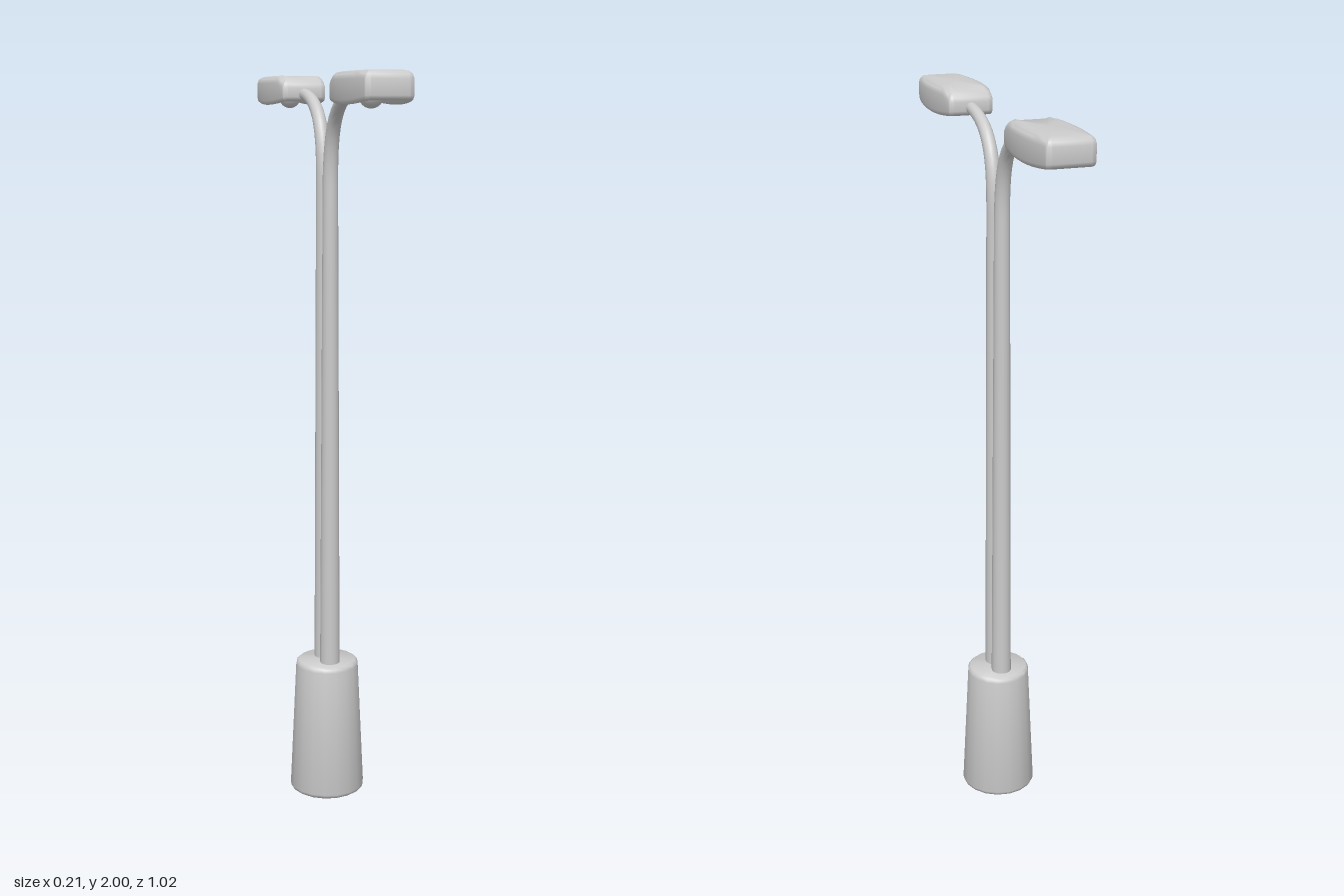
import * as THREE from 'three';
import { toCreasedNormals } from 'three/addons/utils/BufferGeometryUtils.js';

const material = new THREE.MeshStandardMaterial({ color: 0xcccccc });
const HALF_W = 0.072, HALF_L = 0.148, HEAD_Z = 0.362;

function part(name, geometry, parent) {
  const mesh = new THREE.Mesh(geometry, material);
  mesh.name = name;
  parent.add(mesh);
  return mesh;
}

// Plan of the lamp head: a long six-sided shape with rounded corners
function headOutline() {
  const s = new THREE.Shape();
  const e = 0.061, r = 0.014;
  s.moveTo(e + 0.001, -HALF_L + r);
  s.quadraticCurveTo(2 * HALF_W - e, 0, e + 0.001, HALF_L - r);
  s.quadraticCurveTo(e, HALF_L, e - r, HALF_L);
  s.lineTo(-e + r, HALF_L);
  s.quadraticCurveTo(-e, HALF_L, -e - 0.001, HALF_L - r);
  s.quadraticCurveTo(-2 * HALF_W + e, 0, -e - 0.001, -HALF_L + r);
  s.quadraticCurveTo(-e, -HALF_L, -e + r, -HALF_L);
  s.lineTo(e - r, -HALF_L);
  s.quadraticCurveTo(e, -HALF_L, e + 0.001, -HALF_L + r);
  return s.getPoints(8);
}

// Shell lofted over the top, down the sides, round the rim and up into the recess
function headGeometry() {
  const outline = headOutline(), n = outline.length;
  // [inset, height]
  const rings = [
    [HALF_W, 2.0], [0.022, 2.0], [0.01, 1.997], [0.003, 1.99], [0, 1.98],
    [0, 1.932], [0.002, 1.924], [0.006, 1.921], [0.011, 1.923],
    [0.015, 1.93], [0.028, 1.965], [HALF_W, 1.967],
  ];
  const pos = [], index = [];
  rings.forEach(([inset, h], i) => {
    const sx = 1 - inset / HALF_W;
    const sz = inset === HALF_W ? 0 : 1 - inset / HALF_L;
    for (const p of outline) {
      const z = p.y * sz, t = z / HALF_L;
      let y = h;
      if (i < 5) y -= 0.014 * THREE.MathUtils.smoothstep(-t, 0.72, 1); // sloping nose
      else if (i < 10) y += 0.010 * t * t; // rim lifts towards the ends
      pos.push(p.x * sx, y, z);
    }
  });
  for (let i = 0; i < rings.length - 1; i++) {
    for (let j = 0; j < n; j++) {
      const k = (j + 1) % n, a = i * n, b = a + n;
      index.push(a + j, a + k, b + j, a + k, b + k, b + j);
    }
  }
  const g = new THREE.BufferGeometry();
  g.setAttribute('position', new THREE.Float32BufferAttribute(pos, 3));
  g.setIndex(index);
  return toCreasedNormals(g, 0.8);
}

// Upright that tapers as it bends over into the arm
function poleGeometry() {
  const path = new THREE.CurvePath();
  const v = (y, z) => new THREE.Vector3(0, y, z);
  path.add(new THREE.LineCurve3(v(0.36, 0.028), v(1.72, 0.031)));
  path.add(new THREE.CubicBezierCurve3(v(1.72, 0.031), v(1.88, 0.033), v(1.945, 0.09), v(1.952, 0.25)));
  const segs = 64, sides = 14;
  const g = new THREE.TubeGeometry(path, segs, 1, sides);
  const p = g.attributes.position;
  for (let i = 0; i <= segs; i++) {
    const u = i / segs, c = path.getPointAt(u);
    const r = u < 0.8 ? 0.028 - 0.0075 * (u / 0.8) : 0.0205 - 0.0055 * ((u - 0.8) / 0.2);
    for (let j = 0; j <= sides; j++) {
      const k = i * (sides + 1) + j;
      p.setXYZ(k, c.x + (p.getX(k) - c.x) * r, c.y + (p.getY(k) - c.y) * r, c.z + (p.getZ(k) - c.z) * r);
    }
  }
  return g;
}

export function createModel() {
  const model = new THREE.Group();
  model.name = 'streetLamp';

  // Tapered footing with softened edges
  const profile = [[0, 0], [0.097, 0], [0.103, 0.004], [0.105, 0.012], [0.088, 0.372],
    [0.086, 0.381], [0.08, 0.386], [0, 0.386]].map(([x, y]) => new THREE.Vector2(x, y));
  part('base', toCreasedNormals(new THREE.LatheGeometry(profile, 18), 0.8), model);

  const pole = poleGeometry(), shell = headGeometry();
  for (const [name, turn] of [['frontLamp', 0], ['backLamp', Math.PI]]) {
    const lamp = new THREE.Group();
    lamp.name = name;
    lamp.rotation.y = turn;
    model.add(lamp);
    part('pole', pole, lamp);
    part('lampHead', shell, lamp).position.z = HEAD_Z;

    // Socket continues the arm inside the recess and holds the bulb
    const socket = part('socket', new THREE.CylinderGeometry(0.014, 0.018, 0.1, 14), lamp);
    socket.rotation.x = Math.PI / 2;
    socket.position.set(0, 1.948, 0.29);
    const bulb = part('bulb', new THREE.SphereGeometry(0.03, 16, 12), lamp);
    bulb.scale.z = 1.2;
    bulb.position.set(0, 1.942, 0.368);
  }
  return model;
}
